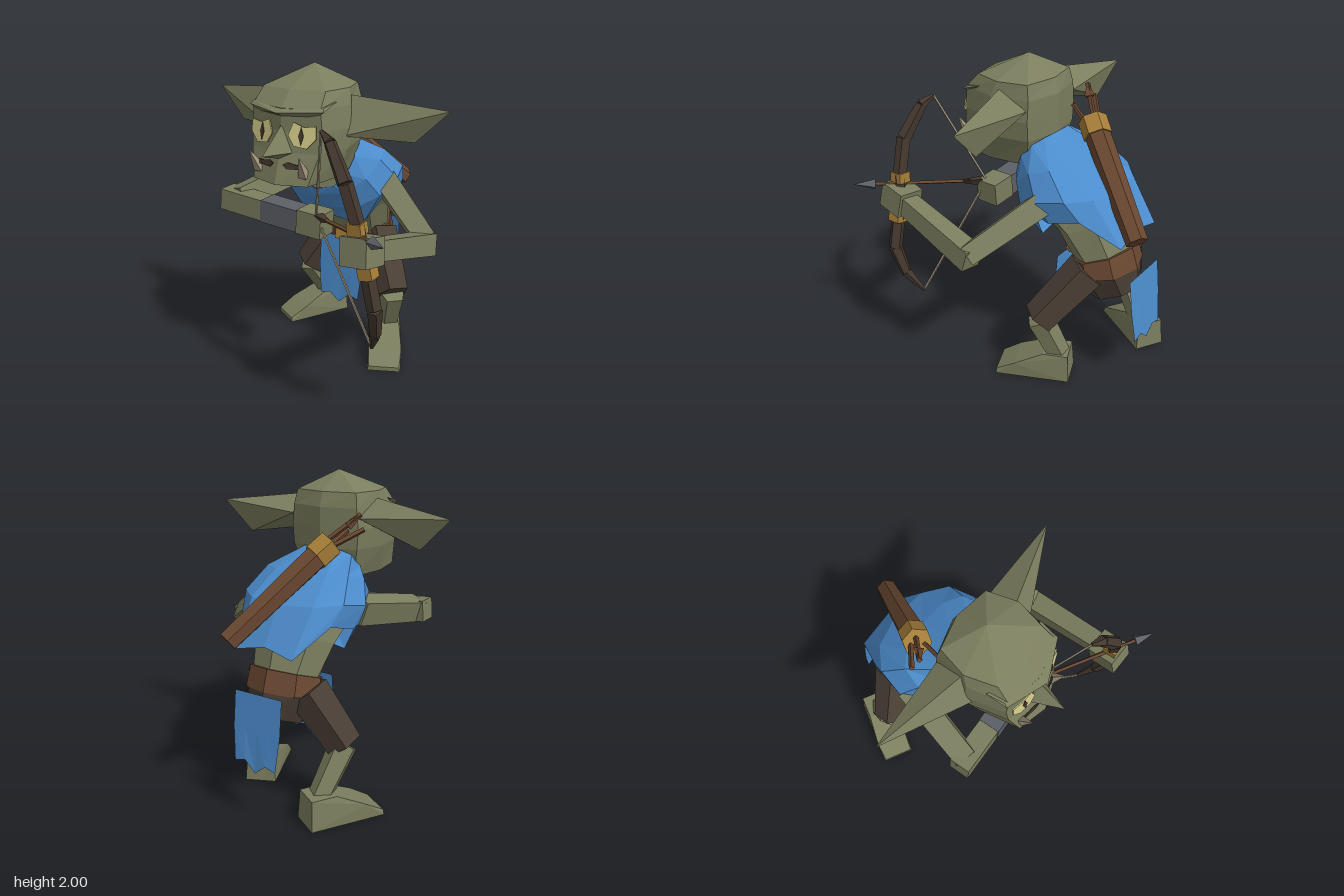
import * as THREE from 'three';
import { ConvexGeometry } from 'three/addons/geometries/ConvexGeometry.js';

const V = (x, y, z) => new THREE.Vector3(x, y, z);
const CX = -0.015; // body centre line

export function createModel() {
  const root = new THREE.Group();
  root.name = 'goblinArcher';
  const paint = (name, color, extra = {}) => new THREE.MeshStandardMaterial({ name, color, ...extra });
  const skin = paint('oliveSkin', 0x7b7e5e);
  const blue = paint('blueCloth', 0x4c8ccc, { side: THREE.DoubleSide });
  const pants = paint('darkTrousers', 0x4a3f35);
  const leather = paint('brownLeather', 0x694730);
  const gold = paint('brass', 0xa67e38);
  const wood = paint('darkWood', 0x44382e);
  const steel = paint('greySteel', 0x5c5f66);
  const bone = paint('bone', 0xa3977e);
  const eyeYellow = paint('eyeYellow', 0xd3cb88);

  // Adds a faceted mesh
  function add(name, geo, mat, parent = root) {
    const g = geo.index ? geo.toNonIndexed() : geo;
    g.computeVertexNormals();
    const m = new THREE.Mesh(g, mat);
    m.name = name;
    parent.add(m);
    return m;
  }
  const hull = (name, pts, mat) => add(name, new ConvexGeometry(pts.map(p => V(...p))), mat);

  // Tapered straight piece from a to b
  function limb(name, a, b, ra, rb, mat, sides = 4) {
    const A = V(...a), B = V(...b), d = B.clone().sub(A);
    const geo = new THREE.CylinderGeometry(rb, ra, d.length(), sides);
    geo.rotateY(Math.PI / sides);
    const m = add(name, geo, mat);
    m.position.copy(A).add(B).multiplyScalar(0.5);
    m.quaternion.setFromUnitVectors(V(0, 1, 0), d.normalize());
    return m;
  }
  function box(name, size, pos, mat, rot = [0, 0, 0]) {
    const m = add(name, new THREE.BoxGeometry(...size), mat);
    m.position.set(...pos);
    m.rotation.set(...rot);
    return m;
  }

  // Skin over rings listed bottom to top: [half width, front [z,y], side [z,y], back [z,y], jag]
  function loft(name, rings, mat, { n = 8, p = 1, bottom = false, apex = null } = {}) {
    const pos = [], idx = [];
    const bend = (v) => Math.sign(v) * Math.pow(Math.abs(v) < 1e-6 ? 0 : Math.abs(v), p);
    for (const [w, f, s, b, jag = 0] of rings) {
      for (let j = 0; j < n; j++) {
        const a = (j / n) * Math.PI * 2, c = bend(Math.cos(a)), tooth = j % 2 ? jag : 0;
        const mix = i => s[i] + c * (f[i] - b[i]) / 2 + c * c * ((f[i] + b[i]) / 2 - s[i]);
        pos.push(CX + w * bend(Math.sin(a)), mix(1) - tooth, mix(0) + Math.min(c, 0) * tooth);
      }
    }
    for (let k = 0; k < rings.length - 1; k++) for (let j = 0; j < n; j++) {
      const a = k * n + j, b = k * n + (j + 1) % n;
      idx.push(a, b, b + n, a, b + n, a + n);
    }
    if (bottom) {
      const r = rings[0], c = pos.length / 3;
      pos.push(CX, r[2][1], (r[1][0] + r[3][0]) / 2);
      for (let j = 0; j < n; j++) idx.push(c, (j + 1) % n, j);
    }
    if (apex) {
      const c = pos.length / 3, o = (rings.length - 1) * n;
      pos.push(CX, apex[1], apex[0]);
      for (let j = 0; j < n; j++) idx.push(o + j, o + (j + 1) % n, c);
    }
    const g = new THREE.BufferGeometry();
    g.setAttribute('position', new THREE.Float32BufferAttribute(pos, 3));
    g.setIndex(idx);
    return add(name, g, mat);
  }

  // Head
  const level = (y, w, front, back) => [w, [front, y], [(front + back) / 2, y], [back, y]];
  loft('head', [level(1.36, 0.23, 0.56, -0.06), level(1.54, 0.285, 0.5, -0.1), level(1.66, 0.295, 0.48, -0.1),
    level(1.79, 0.28, 0.48, -0.1), level(1.88, 0.26, 0.385, -0.07)], skin, { p: 0.6, bottom: true, apex: [0.12, 2] });
  hull('nose', [[CX, 1.7, 0.47], [CX - 0.075, 1.54, 0.48], [CX + 0.075, 1.54, 0.48], [CX, 1.5, 0.5], [CX, 1.55, 0.67]], skin);

  // Thin face plates, slightly turned to follow the face
  function plate(name, pts, x, y, z, side, mat) {
    const shape = new THREE.Shape(pts.map(([px, py]) => new THREE.Vector2(px * side, py)));
    const m = add(name, new THREE.ExtrudeGeometry(shape, { depth: 0.008, bevelEnabled: false }), mat);
    m.position.set(CX + side * x, y, z);
    m.rotation.set(-0.12, side * 0.2, 0, 'YXZ');
  }
  for (const s of [-1, 1]) {
    const X = x => CX + s * x;
    hull('brow', [[X(0), 1.79, 0.47], [X(0), 1.77, 0.53], [X(0), 1.74, 0.47], [X(0.24), 1.8, 0.41],
      [X(0.25), 1.78, 0.43], [X(0.2), 1.745, 0.42], [X(0.26), 1.82, 0.3]], skin);
    plate('eye', [[-0.085, 0], [-0.05, -0.06], [0.03, -0.07], [0.085, -0.01], [0.08, 0.06], [0.01, 0.05], [-0.055, 0.075]],
      0.137, 1.643, 0.47, s, eyeYellow);
    plate('pupil', [[-0.016, 0], [0, -0.052], [0.016, 0], [0, 0.052]], 0.132, 1.643, 0.476, s, wood);
    plate('mouth', [[-0.06, 0], [-0.035, -0.025], [0.05, -0.02], [0.06, 0.005], [0.02, 0.005], [-0.03, 0.015]],
      0.09, 1.475, 0.505, s, wood);
    limb('tusk', [X(0.155), 1.42, 0.485], [X(0.17), 1.54, 0.56], 0.037, 0.003, bone);
    hull('ear', [[X(0.82), 1.77, -0.01], [X(0.62), 1.57, 0.02], [X(0.23), 1.84, 0.15],
      [X(0.26), 1.61, 0.24], [X(0.24), 1.73, -0.04]], skin);
  }

  // Torso, belt and hips
  loft('torso', [
    [0.22, [-0.31, 0.77], [-0.47, 0.84], [-0.64, 0.9]],
    [0.27, [-0.2, 0.98], [-0.36, 1.04], [-0.57, 1.12]],
    [0.31, [-0.02, 1.12], [-0.2, 1.2], [-0.45, 1.26]],
    [0.22, [0.12, 1.22], [0, 1.32], [-0.1, 1.45]],
    [0.18, [0.08, 1.4], [0.02, 1.42], [-0.05, 1.46]]], skin);
  loft('belt', [
    [0.25, [-0.3, 0.69], [-0.49, 0.74], [-0.705, 0.785]],
    [0.24, [-0.28, 0.78], [-0.46, 0.85], [-0.66, 0.92]]], leather, { bottom: true, apex: [-0.47, 0.86] });
  loft('hips', [
    [0.14, [-0.4, 0.54], [-0.53, 0.56], [-0.72, 0.65]],
    [0.24, [-0.31, 0.7], [-0.49, 0.75], [-0.705, 0.79]]], pants, { bottom: true });
  box('buckle', [0.095, 0.08, 0.04], [CX, 0.8, -0.228], gold, [-0.2, 0, 0]);

  // Hooded mantle with a ragged hem
  loft('mantle', [
    [0.36, [-0.12, 0.96], [-0.29, 1.21], [-0.68, 1.06], 0.08],
    [0.4, [0.02, 1.06], [-0.22, 1.26], [-0.55, 1.28]],
    [0.33, [0.1, 1.17], [-0.12, 1.39], [-0.34, 1.42]],
    [0.22, [0.11, 1.22], [0.02, 1.43], [-0.1, 1.55]]], blue, { n: 12, p: 0.85 });

  // Hanging cloths with torn ends
  function cloth(name, top, z, sweep) {
    const g = new THREE.PlaneGeometry(0.335, 0.44, 4, 2), p = g.attributes.position;
    const torn = [0.02, 0.04, -0.02, 0.05, 0.03];
    for (let i = 0; i < 15; i++) {
      const row = Math.floor(i / 5);
      p.setZ(i, row * sweep);
      if (row === 2) { p.setY(i, -0.24 + torn[i % 5]); p.setX(i, p.getX(i) * 0.88); }
    }
    add(name, g, blue).position.set(CX, top - 0.22, z);
  }
  cloth('frontLoincloth', 0.78, -0.22, 0.02);
  cloth('backLoincloth', 0.79, -0.75, -0.025);

  // Legs
  function leg(side, hip, knee, ankle, heel, turn) {
    limb(side + 'Thigh', hip, knee, 0.135, 0.115, pants, 5);
    limb(side + 'Shin', knee, ankle, 0.09, 0.075, skin, 5);
    const foot = hull(side + 'Foot', [-1, 1].flatMap(s => [
      [s * 0.1, 0, 0], [s * 0.085, 0.19, 0.01], [s * 0.085, 0.19, 0.17],
      [s * 0.11, 0.1, 0.36], [s * 0.11, 0, 0.48], [s * 0.1, 0.03, 0.48]]), skin);
    foot.position.set(...heel);
    foot.rotation.y = turn;
  }
  leg('left', [0.15, 0.77, -0.45], [0.37, 0.44, -0.24], [0.29, 0.15, -0.34], [0.255, 0, -0.41], 0.42);
  leg('right', [-0.18, 0.77, -0.49], [-0.39, 0.44, -0.41], [-0.33, 0.15, -0.59], [-0.29, 0, -0.69], -0.54);

  // Bow arm
  limb('leftUpperArm', [0.31, 1.22, -0.21], [0.715, 0.975, 0.03], 0.1, 0.085, skin);
  limb('leftForearm', [0.7, 0.955, 0], [0.63, 1.11, 0.6], 0.095, 0.08, skin);
  box('leftHand', [0.17, 0.16, 0.18], [0.615, 1.125, 0.66], skin, [-0.2, -0.1, 0.1]);

  // String arm
  limb('rightUpperArm', [-0.34, 1.22, -0.2], [-0.48, 1.13, 0.32], 0.105, 0.095, skin);
  limb('rightForearm', [-0.56, 1.13, 0.32], [-0.25, 1.105, 0.32], 0.095, 0.095, skin);
  limb('rightBracer', [-0.25, 1.105, 0.32], [0.02, 1.085, 0.32], 0.1, 0.098, steel);
  box('rightHand', [0.17, 0.15, 0.155], [0.105, 1.085, 0.32], skin, [0, 0, -0.06]);

  // Bow
  const bow = [[0.325, 1.725, 0.6], [0.4, 1.68, 0.635], [0.52, 1.49, 0.685], [0.59, 1.27, 0.675], [0.615, 1.12, 0.66],
    [0.655, 0.99, 0.66], [0.7, 0.8, 0.665], [0.68, 0.62, 0.61], [0.615, 0.475, 0.525]];
  const thick = [0.012, 0.035, 0.045, 0.044, 0.04, 0.044, 0.045, 0.035, 0.012];
  for (let i = 0; i < bow.length - 1; i++) limb('bowStave', bow[i], bow[i + 1], thick[i], thick[i + 1], wood, 5);
  limb('upperBowBand', [0.595, 1.22, 0.672], [0.588, 1.285, 0.675], 0.06, 0.06, gold);
  limb('lowerBowBand', [0.645, 1.04, 0.66], [0.66, 0.975, 0.66], 0.06, 0.06, gold);
  const nock = [0.14, 1.14, 0.36];
  limb('upperString', bow[0], nock, 0.008, 0.008, bone);
  limb('lowerString', bow[8], nock, 0.008, 0.008, bone);

  // Nocked arrow
  limb('arrowShaft', nock, [0.74, 1.232, 0.77], 0.013, 0.013, leather);
  limb('arrowHead', [0.725, 1.23, 0.76], [0.825, 1.246, 0.83], 0.038, 0.002, steel);
  limb('arrowFletching', [0.17, 1.145, 0.38], [0.27, 1.16, 0.448], 0.035, 0.014, wood, 3);

  // Quiver slung over the back
  limb('quiver', [0.165, 1.09, -0.785], [-0.13, 1.535, -0.31], 0.066, 0.08, leather, 6);
  limb('quiverBand', [-0.125, 1.53, -0.315], [-0.18, 1.605, -0.235], 0.09, 0.09, gold, 6);
  const spares = [[[-0.2, 1.59, -0.27], [-0.35, 1.69, -0.14]], [[-0.17, 1.63, -0.25], [-0.31, 1.77, -0.11]],
    [[-0.15, 1.57, -0.22], [-0.2, 1.66, -0.08]]];
  for (const [from, to] of spares) limb('spareArrow', from, to, 0.016, 0.016, leather);
  limb('spareFletching', [-0.25, 1.71, -0.168], [-0.31, 1.77, -0.11], 0.035, 0.008, leather, 3);
  return root;
}
